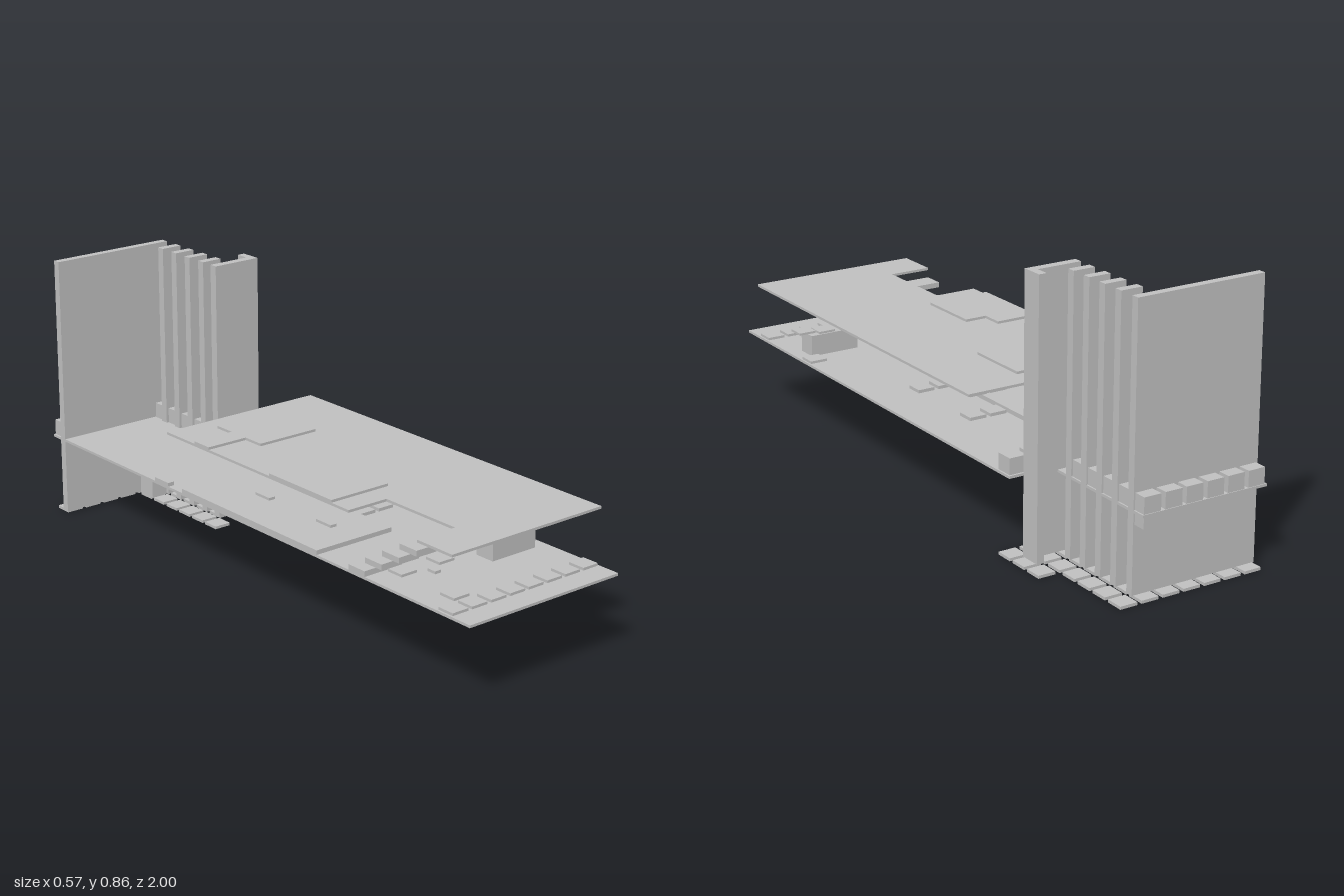
import * as THREE from 'three';

const concrete = new THREE.MeshStandardMaterial({ color: 0xbfbfbf });
concrete.name = 'pale grey';

export function createModel() {
  const model = new THREE.Group();
  model.name = 'building';

  // Box given by its limits along x, y and z
  const block = (name, x0, x1, y0, y1, z0, z1) => {
    const mesh = new THREE.Mesh(new THREE.BoxGeometry(x1 - x0, y1 - y0, z1 - z0), concrete);
    mesh.position.set((x0 + x1) / 2, (y0 + y1) / 2, (z0 + z1) / 2);
    mesh.name = name;
    model.add(mesh);
  };

  // Horizontal slab from an outline of [x, z] corners
  const slab = (name, y0, y1, outline) => {
    const shape = new THREE.Shape(outline.map(([x, z]) => new THREE.Vector2(x, -z)));
    const geometry = new THREE.ExtrudeGeometry(shape, { depth: y1 - y0, bevelEnabled: false });
    geometry.rotateX(-Math.PI / 2);
    const mesh = new THREE.Mesh(geometry, concrete);
    mesh.position.y = y0;
    mesh.name = name;
    model.add(mesh);
  };

  // Square tile on the shared column grid
  const columnX = (c) => -0.25 + c * 0.0713;
  const tile = (name, c, z, y0, y1, depth = 0.057) =>
    block(name, columnX(c) - 0.0285, columnX(c) + 0.0285, y0, y1, z - depth / 2, z + depth / 2);

  // Main floor, roof with stair opening, and raised roof plates
  slab('floor', 0.252, 0.26, [
    [-0.285, 1], [0.283, 1], [0.283, -0.57], [0.14, -0.57], [0.14, -1], [-0.285, -1],
  ]);
  slab('roof', 0.431, 0.439, [
    [-0.285, 0.925], [0.283, 0.925], [0.283, -0.36], [-0.285, -0.36],
    [-0.285, 0.5], [-0.145, 0.5], [-0.145, 0.785], [-0.285, 0.785],
  ]);
  slab('frontRoofPlate', 0.439, 0.447, [
    [-0.285, 0.425], [-0.073, 0.425], [-0.073, 0.212], [-0.145, 0.212], [-0.145, 0.142], [-0.285, 0.142],
  ]);
  slab('rearRoofPlate', 0.439, 0.447, [
    [-0.145, -0.075], [0.07, -0.075], [0.07, -0.288], [-0.145, -0.288],
    [-0.145, -0.218], [-0.285, -0.218], [-0.285, -0.148], [-0.145, -0.148],
  ]);
  block('innerFloorPlate', -0.285, 0, 0.26, 0.274, -0.288, 0.36);

  // Floating stair treads
  for (let i = 0; i < 4; i++) {
    const y = 0.26 + i * 0.043, z = 0.5 + i * 0.0715;
    block('stairTread', -0.285, -0.145, y, y + 0.017, z, z + 0.07);
  }

  // Tower: rear wall, fins and angled front column
  block('rearWall', -0.285, 0.14, 0.008, 0.857, -0.957, -0.932);
  for (let i = 0; i < 4; i++) {
    const z = -0.87 + i * 0.0725;
    block('towerFin', 0.07, 0.14, 0.008, 0.857, z - 0.013, z + 0.013);
  }
  slab('frontColumn', 0.008, 0.857, [
    [0.07, -0.573], [0.238, -0.573], [0.238, -0.643], [0.213, -0.643], [0.213, -0.6], [0.07, -0.6],
  ]);
  block('towerBox', 0.006, 0.064, 0.008, 0.13, -0.925, -0.858);

  // Paving around the tower foot: first and last row of each column
  const rows = [[0, 0], [0, 0], [0, 0], [0, 0], [0, 6], [0, 5], [0, 6], [4, 6]];
  rows.forEach(([first, last], c) => {
    if (c === 7 || c < 7) {
      for (let r = first; r <= last; r++) tile('pavingTile', c, -0.968 + r * 0.0718, 0, 0.009);
    }
  });

  // Cubes along the floor edge, and the two hung below it
  for (let c = 0; c < 6; c++) tile('rearCube', c, -0.975, 0.26, 0.31, 0.045);
  for (let i = 0; i < 4; i++) tile('sideCube', 5, -0.906 + i * 0.0725, 0.26, 0.31, 0.045);
  for (let c = 5; c < 8; c++) tile('frontCube', c, -0.535, 0.26, 0.31);
  tile('lowerCube', 5, -0.535, 0.217, 0.252);
  tile('lowerCube', 5, -0.977, 0.217, 0.252, 0.04);

  // Front edge paving and loose floor tiles
  for (let c = 0; c < 8; c++) tile('edgeTile', c, 0.897, 0.26, 0.268);
  tile('floorTile', 1, 0.825, 0.26, 0.268);
  for (const c of [1, 3, 7]) tile('floorTile', c, 0.61, 0.26, 0.268);

  // Counter with tops
  block('counter', 0.07, 0.238, 0.26, 0.328, 0.647, 0.715);
  tile('counterTop', 6, 0.681, 0.328, 0.335);
  tile('counterTop', 7, 0.681, 0.335, 0.342);
  block('counterShelf', 0.07, 0.14, 0.362, 0.37, 0.647, 0.715);

  // Low pads with tables above
  for (const z of [0.185, -0.108]) {
    for (const c of [4, 5]) {
      tile('floorPad', c, z, 0.26, 0.27);
      tile('table', c, z, 0.335, 0.342);
    }
  }

  // Small ledges along the right edge
  for (const [z, depth] of [[0.845, 0.03], [0.39, 0.065], [0.11, 0.065]]) {
    block('ledge', -0.285, -0.263, 0.362, 0.37, z - depth / 2, z + depth / 2);
  }
  block('floorLedge', -0.285, -0.263, 0.26, 0.272, -0.43, -0.36);

  return model;
}
